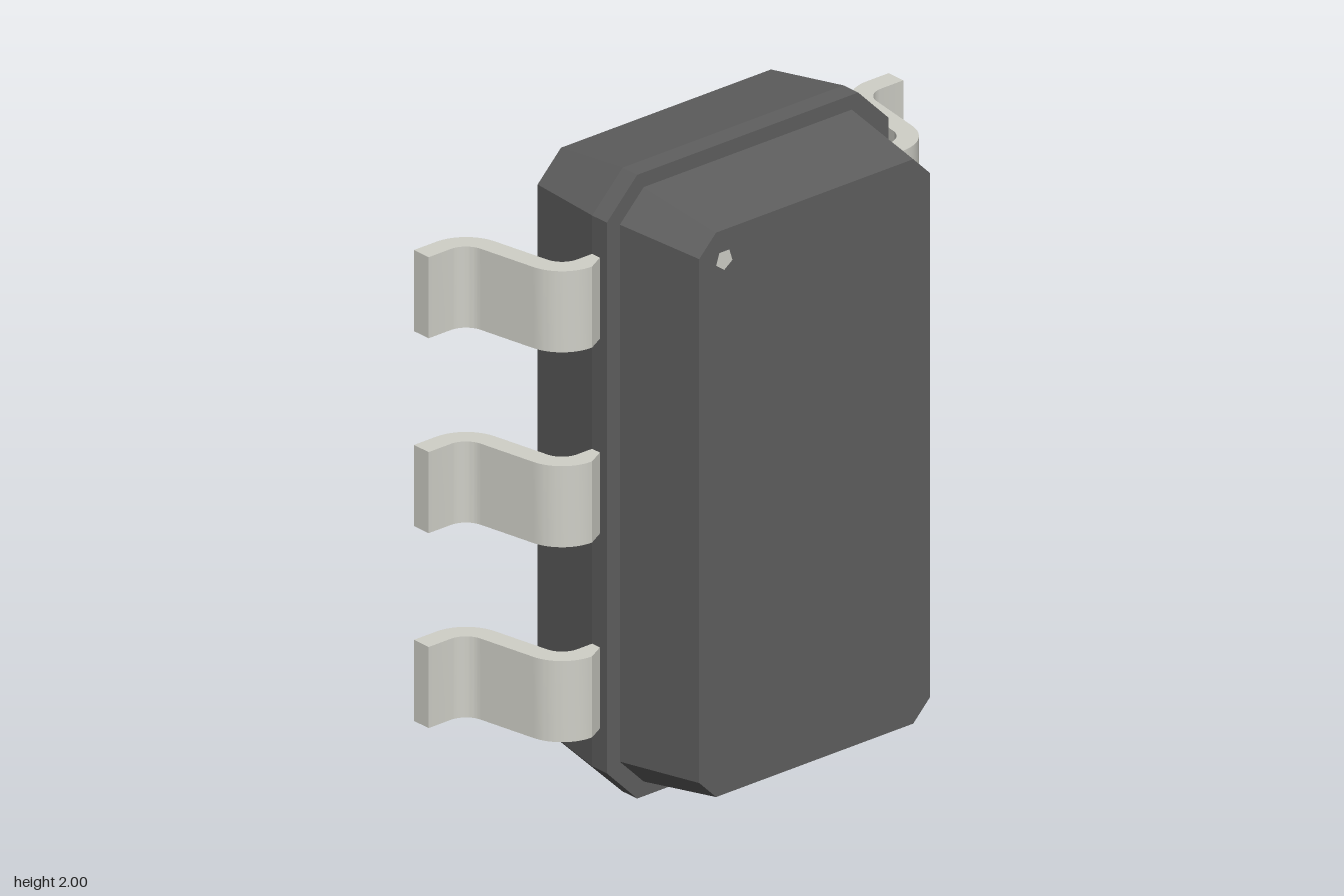
import * as THREE from 'three';
import { toCreasedNormals } from 'three/addons/utils/BufferGeometryUtils.js';

const CENTER_Y = 1;

// Rectangle with cut corners, counter-clockwise seen from +z
function octagon({ z, w, h, c }) {
  return [
    [w, -h + c], [w, h - c], [w - c, h], [-w + c, h],
    [-w, h - c], [-w, -h + c], [-w + c, -h], [w - c, -h],
  ].map(([x, y]) => [x, y, z]);
}

// Faceted solid through octagonal sections ordered from back to front
function loft(sections) {
  const rings = sections.map(octagon);
  const pos = [];
  const tri = (a, b, c) => pos.push(...a, ...b, ...c);
  for (let s = 0; s < rings.length - 1; s++) {
    const a = rings[s], b = rings[s + 1];
    for (let i = 0; i < 8; i++) {
      const j = (i + 1) % 8;
      tri(a[i], a[j], b[j]);
      tri(a[i], b[j], b[i]);
    }
  }
  const back = rings[0], front = rings[rings.length - 1];
  for (let i = 1; i < 7; i++) {
    tri(back[0], back[i + 1], back[i]);
    tri(front[0], front[i], front[i + 1]);
  }
  const geo = new THREE.BufferGeometry();
  geo.setAttribute('position', new THREE.Float32BufferAttribute(pos, 3));
  geo.computeVertexNormals();
  return geo;
}

// Gull-wing lead: S-bent strip drawn in (x, -z), extruded along y
function leadGeometry(width) {
  const rad = THREE.MathUtils.degToRad;
  const inner = 0.0675, outer = 0.1325;
  const bend1 = [0.6, 0.0675], bend2 = [0.83, 0.2275];
  const s = new THREE.Shape();
  s.moveTo(0.48, -0.065);
  s.absarc(...bend1, outer, rad(-90), rad(-10), false);
  s.absarc(...bend2, inner, rad(170), rad(90), true);
  s.lineTo(0.915, 0.295);
  s.lineTo(0.915, 0.36);
  s.absarc(...bend2, outer, rad(90), rad(170), false);
  s.absarc(...bend1, inner, rad(-10), rad(-90), true);
  s.lineTo(0.48, 0);
  const geo = new THREE.ExtrudeGeometry(s, { depth: width, bevelEnabled: false, curveSegments: 10 });
  geo.translate(0, 0, -width / 2);
  geo.rotateX(-Math.PI / 2);
  return toCreasedNormals(geo, rad(30));
}

export function createModel() {
  const model = new THREE.Group();
  model.name = 'chipPackage';
  const plastic = new THREE.MeshStandardMaterial({ color: 0x5f5f5f });
  const metal = new THREE.MeshStandardMaterial({ color: 0xd0d0c8 });

  const add = (name, geo, mat, x, y, z) => {
    const mesh = new THREE.Mesh(geo, mat);
    mesh.name = name;
    mesh.position.set(x, y, z);
    model.add(mesh);
    return mesh;
  };

  // Moulded body: wider back half and smaller front half
  add('backBody', loft([
    { z: -0.295, w: 0.495, h: 0.953, c: 0.09 },
    { z: 0, w: 0.543, h: 1, c: 0.117 },
    { z: 0.065, w: 0.543, h: 1, c: 0.117 },
  ]), plastic, 0, CENTER_Y, 0);
  add('frontBody', loft([
    { z: 0.065, w: 0.493, h: 0.953, c: 0.092 },
    { z: 0.36, w: 0.445, h: 0.905, c: 0.065 },
  ]), plastic, 0, CENTER_Y, 0);

  // Pin-one mark on the front face
  add('pinMark', new THREE.CircleGeometry(0.033, 5, -Math.PI / 2), metal, -0.35, 1.81, 0.362);

  // Three leads on each side
  const lead = leadGeometry(0.26);
  for (let i = 0; i < 3; i++) {
    const y = CENTER_Y + 0.005 + (i - 1) * 0.625;
    add(`leftLead${i + 1}`, lead, metal, 0, y, 0);
    add(`rightLead${i + 1}`, lead, metal, 0, y, 0).rotation.z = Math.PI;
  }
  return model;
}
